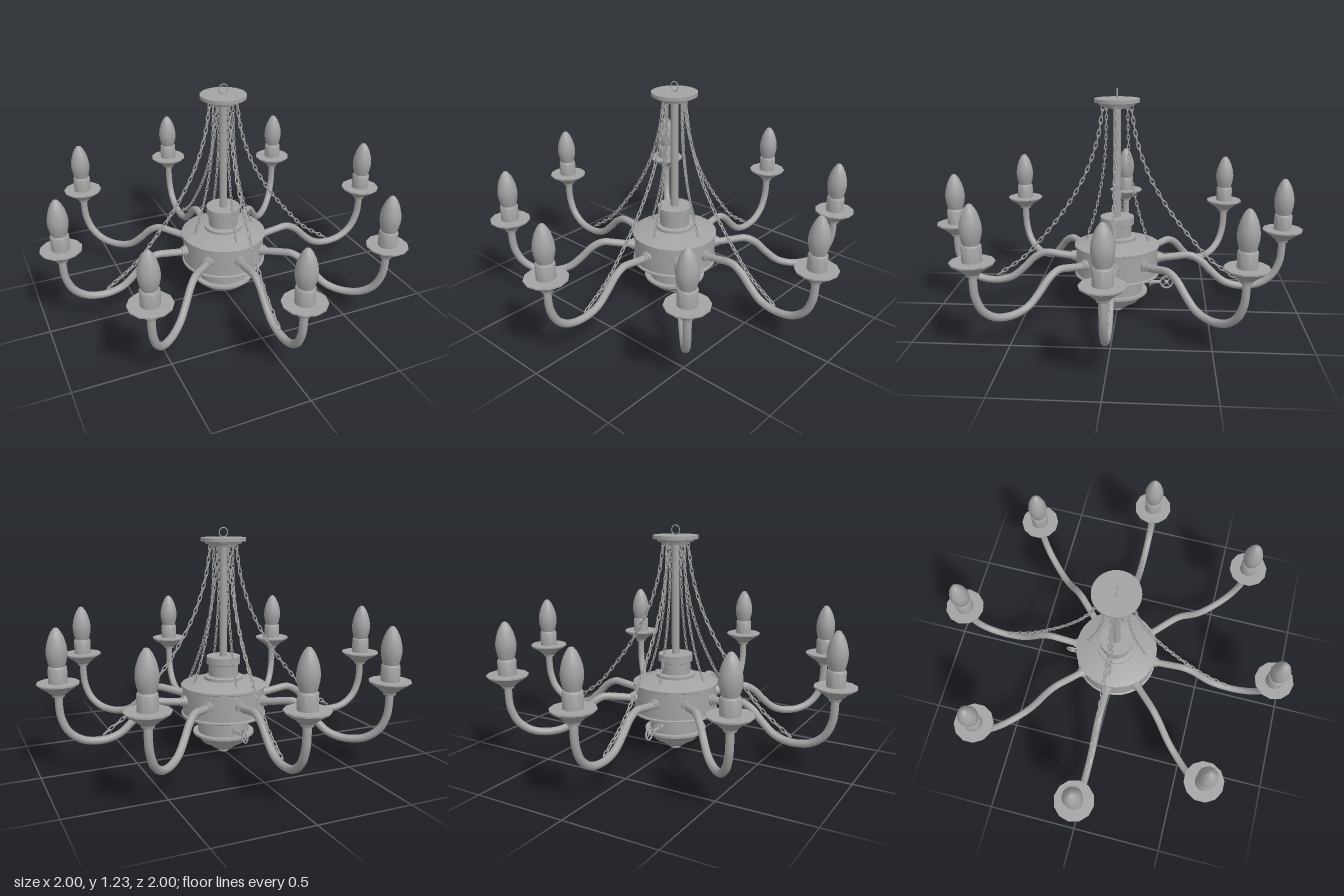
import * as THREE from 'three';
import { mergeGeometries, toCreasedNormals } from 'three/addons/utils/BufferGeometryUtils.js';

const metal = new THREE.MeshStandardMaterial({ color: 0xa3a3a3 });
metal.name = 'grey metal';

function part(name, geometry, parent) {
  const mesh = new THREE.Mesh(geometry, metal);
  mesh.name = name;
  parent.add(mesh);
  return mesh;
}

// Turned part from [radius, height] pairs, bottom to top, with crisp edges
function turned(profile, sides) {
  const points = profile.map(([r, y]) => new THREE.Vector2(r, y));
  return toCreasedNormals(new THREE.LatheGeometry(points, sides), 0.6);
}

// Smooth curve in the x-y plane
function path(points) {
  return new THREE.CatmullRomCurve3(points.map(([x, y]) => new THREE.Vector3(x, y, 0)));
}

// Rod along x
function rodX(radius, x0, x1, y, sides = 12) {
  return new THREE.CylinderGeometry(radius, radius, x1 - x0, sides)
    .rotateZ(Math.PI / 2).translate((x0 + x1) / 2, y, 0);
}

// Interlocking oval links, every second one turned a quarter
function chain(curve, pitch, length, width, wire) {
  const count = Math.round(curve.getLength() / pitch);
  const link = new THREE.TorusGeometry(width / 2 - wire, wire, 5, 12)
    .scale(1, (length / 2 - wire) / (width / 2 - wire), 1);
  const up = new THREE.Vector3(0, 1, 0);
  const links = [];
  for (let i = 0; i <= count; i++) {
    const t = i / count;
    const turn = new THREE.Quaternion().setFromUnitVectors(up, curve.getTangentAt(t));
    const p = curve.getPointAt(t);
    links.push(link.clone().rotateY(i % 2 ? Math.PI / 2 : 0)
      .applyQuaternion(turn).translate(p.x, p.y, p.z));
  }
  return mergeGeometries(links);
}

export function createModel() {
  const model = new THREE.Group();
  model.name = 'chandelier';

  // Central body and its neck
  part('body', turned([
    [0, 0], [0.028, 0], [0.03, 0.018], [0.055, 0.022], [0.068, 0.032], [0.085, 0.055],
    [0.115, 0.06], [0.125, 0.07], [0.14, 0.095], [0.168, 0.108], [0.168, 0.12], [0.14, 0.12],
    [0.14, 0.195], [0.175, 0.198], [0.2, 0.212], [0.232, 0.218], [0.232, 0.226], [0.224, 0.23],
    [0.224, 0.37], [0.232, 0.374], [0.232, 0.385], [0.2, 0.395], [0.13, 0.41], [0.105, 0.415],
    [0.105, 0.43], [0.08, 0.435], [0.08, 0.495], [0.092, 0.5], [0.092, 0.54], [0, 0.54],
  ], 32), model);

  // Hanging rod, ceiling plate and ring
  part('rod', new THREE.CylinderGeometry(0.021, 0.021, 0.62, 16).translate(0, 0.84, 0), model);
  part('ceilingPlate', turned([
    [0, 1.13], [0.07, 1.13], [0.075, 1.142], [0.095, 1.145], [0.1, 1.155],
    [0.12, 1.158], [0.12, 1.177], [0, 1.177],
  ], 32), model);
  part('hangingRing', new THREE.TorusGeometry(0.024, 0.003, 6, 24).translate(0, 1.204, 0), model);

  // Eight arms, each with a collar, dish, candle and bulb
  const armGeometry = new THREE.TubeGeometry(path([
    [0.21, 0.31], [0.26, 0.31], [0.32, 0.318], [0.4, 0.325], [0.46, 0.295], [0.52, 0.235],
    [0.59, 0.178], [0.68, 0.156], [0.78, 0.172], [0.85, 0.225], [0.885, 0.3], [0.893, 0.36],
    [0.893, 0.43],
  ]), 56, 0.02, 10);
  const collarGeometry = mergeGeometries([rodX(0.031, 0.2, 0.238, 0.31), rodX(0.026, 0.238, 0.25, 0.31)]);
  const dishGeometry = turned([
    [0, 0.412], [0.03, 0.412], [0.034, 0.425], [0.045, 0.432], [0.058, 0.445],
    [0.085, 0.462], [0.107, 0.478], [0.107, 0.485], [0, 0.485],
  ], 12);
  const candleGeometry = turned([
    [0.048, 0.483], [0.048, 0.56], [0.043, 0.568], [0, 0.568],
  ], 16);
  const bulbGeometry = turned([
    [0.038, 0.565], [0.046, 0.59], [0.052, 0.62], [0.053, 0.645], [0.049, 0.675],
    [0.039, 0.71], [0.026, 0.738], [0.012, 0.757], [0, 0.762],
  ], 16);
  for (let i = 0; i < 8; i++) {
    const arm = new THREE.Group();
    arm.name = 'arm' + (i + 1);
    arm.rotation.y = i * Math.PI / 4;
    model.add(arm);
    part('armTube', armGeometry, arm);
    part('collar', collarGeometry, arm);
    part('dish', dishGeometry, arm).position.x = 0.893;
    part('candle', candleGeometry, arm).position.x = 0.893;
    part('bulb', bulbGeometry, arm).position.x = 0.893;
  }

  // Four long chains to the arms and four short ones to the body
  const longChain = chain(path([
    [0.075, 1.13], [0.105, 0.96], [0.17, 0.775], [0.275, 0.59], [0.41, 0.415],
    [0.52, 0.295], [0.66, 0.195],
  ]), 0.034, 0.045, 0.024, 0.0035);
  const shortChain = chain(path([
    [0.055, 1.13], [0.064, 0.88], [0.088, 0.7], [0.125, 0.54], [0.168, 0.41],
  ]), 0.026, 0.034, 0.018, 0.0027);
  for (let i = 0; i < 4; i++) {
    part('longChain', longChain, model).rotation.y = i * Math.PI / 2;
    part('shortChain', shortChain, model).rotation.y = i * Math.PI / 2;
  }

  // Valve at the back with a spoked hand wheel
  const valve = new THREE.Group();
  valve.name = 'valve';
  valve.rotation.y = Math.PI / 2;
  model.add(valve);
  part('valveStem', rodX(0.009, 0.13, 0.24, 0.165), valve);
  part('valveFlange', rodX(0.027, 0.182, 0.19, 0.165, 16), valve);
  part('valveCollar', rodX(0.015, 0.19, 0.202, 0.165), valve);
  const wheel = new THREE.Group();
  wheel.name = 'handWheel';
  wheel.position.set(0.275, 0.165, 0);
  valve.add(wheel);
  part('wheelRim', new THREE.TorusGeometry(0.033, 0.005, 8, 24), wheel);
  part('wheelHub', new THREE.SphereGeometry(0.011, 12, 8), wheel);
  for (let i = 0; i < 4; i++) {
    part('spoke', rodX(0.0035, 0.004, 0.033, 0, 6), wheel).rotation.z = (i + 0.5) * Math.PI / 2;
  }
  return model;
}
